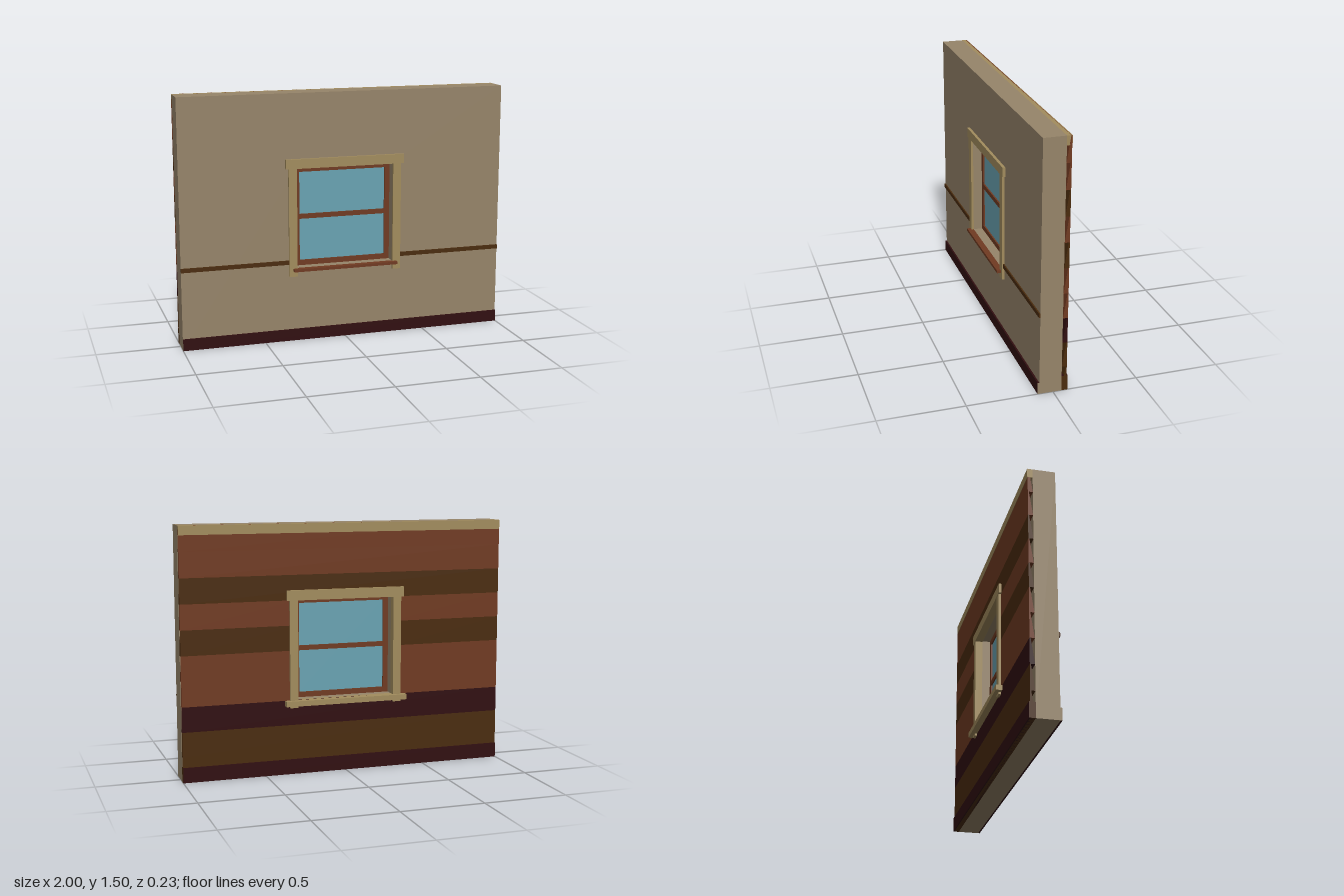
import * as THREE from 'three';

const mat = (name, color) => {
  const m = new THREE.MeshStandardMaterial({ color });
  m.name = name;
  return m;
};

export function createModel() {
  const plaster = mat('plaster', 0x97856a);
  const trim = mat('trim', 0xa38d5e);
  const rust = mat('rustWood', 0x713b22);
  const brown = mat('brownWood', 0x4b2c0e);
  const maroon = mat('maroonWood', 0x310e10);
  const glass = mat('glass', 0x6aa4b4);

  const model = new THREE.Group();
  model.name = 'wallWithWindow';

  const add = (name, geometry, material, parent = model) => {
    const m = new THREE.Mesh(geometry, material);
    m.name = name;
    parent.add(m);
    return m;
  };
  // Box given by its extents on each axis
  const box = (name, material, [x0, x1], [y0, y1], [z0, z1], parent = model) => {
    const m = add(name, new THREE.BoxGeometry(x1 - x0, y1 - y0, z1 - z0), material, parent);
    m.position.set((x0 + x1) / 2, (y0 + y1) / 2, (z0 + z1) / 2);
    return m;
  };
  const rectangle = (Type, x0, x1, y0, y1) => new Type([
    new THREE.Vector2(x0, y0), new THREE.Vector2(x1, y0),
    new THREE.Vector2(x1, y1), new THREE.Vector2(x0, y1),
  ]);

  // Wall with the window opening
  const wallShape = rectangle(THREE.Shape, -1, 1, 0, 1.5);
  wallShape.holes.push(rectangle(THREE.Path, -0.3, 0.3, 0.45, 1.055));
  const wallGeometry = new THREE.ExtrudeGeometry(wallShape, { depth: 0.13, bevelEnabled: false });
  wallGeometry.translate(0, 0, -0.05);
  add('wall', wallGeometry, plaster);

  // Lapped siding, from the bottom board up; boards stop at the window casing
  const siding = new THREE.Group();
  siding.name = 'siding';
  model.add(siding);
  const wedge = (y, x0, x1) => {
    const s = new THREE.Shape();
    s.moveTo(0.05, y);
    s.lineTo(0.079, y);
    s.lineTo(0.056, y + 0.15);
    s.lineTo(0.05, y + 0.15);
    const g = new THREE.ExtrudeGeometry(s, { depth: x1 - x0, bevelEnabled: false });
    // Profile x runs to the back, extrusion runs along the wall
    g.rotateY(Math.PI / 2).rotateY(Math.PI);
    const gMin = new THREE.Box3().setFromBufferAttribute(g.attributes.position).min;
    return g.rotateY(0).translate(x0 - gMin.x, 0, -0.05 - gMin.z - 0.029);
  };
  const wedgeBoard = (y, x0, x1, material) => {
    const g = wedge(y, 0, x1 - x0);
    // Turn the thick edge outwards if needed
    const p = g.attributes.position;
    let lowBack = 0;
    for (let i = 0; i < p.count; i++) if (p.getY(i) < y + 0.01) lowBack = Math.min(lowBack, p.getZ(i));
    if (lowBack > -0.075) g.translate(-(x1 - x0) / 2, 0, 0.0645).rotateY(Math.PI).translate((x1 - x0) / 2, 0, -0.0645);
    g.translate(x0, 0, 0);
    add('sidingBoard', g, material, siding);
  };
  [brown, brown, maroon, rust, rust, brown, rust, brown, rust, rust].forEach((m, i) => {
    const y = i * 0.15;
    if (i >= 3 && i <= 6) {
      wedgeBoard(y, -1, -0.31, m);
      wedgeBoard(y, 0.31, 1, m);
    } else wedgeBoard(y, -1, 1, m);
  });
  box('topTrim', trim, [-1, 1], [1.445, 1.5], [-0.081, -0.05]);

  // Skirting boards; the end grain differs from the painted faces
  box('outerSkirting', [brown, brown, maroon, maroon, maroon, maroon], [-1, 1], [0, 0.09], [-0.086, -0.05]);
  box('innerSkirting', [plaster, plaster, maroon, maroon, maroon, maroon], [-1, 1], [0, 0.07], [0.08, 0.09]);

  // Chair rail and casings on both sides of the window
  for (const s of [-1, 1]) {
    const span = (a, b) => (s > 0 ? [a, b] : [-b, -a]);
    box('chairRail', brown, span(0.35, 1), [0.475, 0.5], [0.08, 0.088]);
    box('innerCasing', trim, span(0.3, 0.35), [0.4, 1.055], [0.08, 0.094]);
    box('outerCasing', trim, span(0.3, 0.35), [0.405, 1.05], [-0.094, -0.05]);
  }
  box('innerHead', trim, [-0.367, 0.367], [1.055, 1.112], [0.08, 0.097]);
  box('outerHead', trim, [-0.367, 0.367], [1.05, 1.11], [-0.097, -0.05]);
  box('innerSill', rust, [-0.325, 0.325], [0.433, 0.45], [0.08, 0.117]);
  box('outerSill', trim, [-0.38, 0.38], [0.418, 0.45], [-0.117, -0.05]);

  // Window sash with a middle rail
  const sash = rectangle(THREE.Shape, -0.3, 0.3, 0.45, 1.055);
  sash.holes.push(rectangle(THREE.Path, -0.268, 0.268, 0.482, 0.737));
  sash.holes.push(rectangle(THREE.Path, -0.268, 0.268, 0.766, 1.023));
  const sashGeometry = new THREE.ExtrudeGeometry(sash, { depth: 0.026, bevelEnabled: false });
  sashGeometry.translate(0, 0, -0.001);
  add('sash', sashGeometry, rust);
  box('pane', glass, [-0.27, 0.27], [0.48, 1.025], [0.008, 0.016]);

  return model;
}
